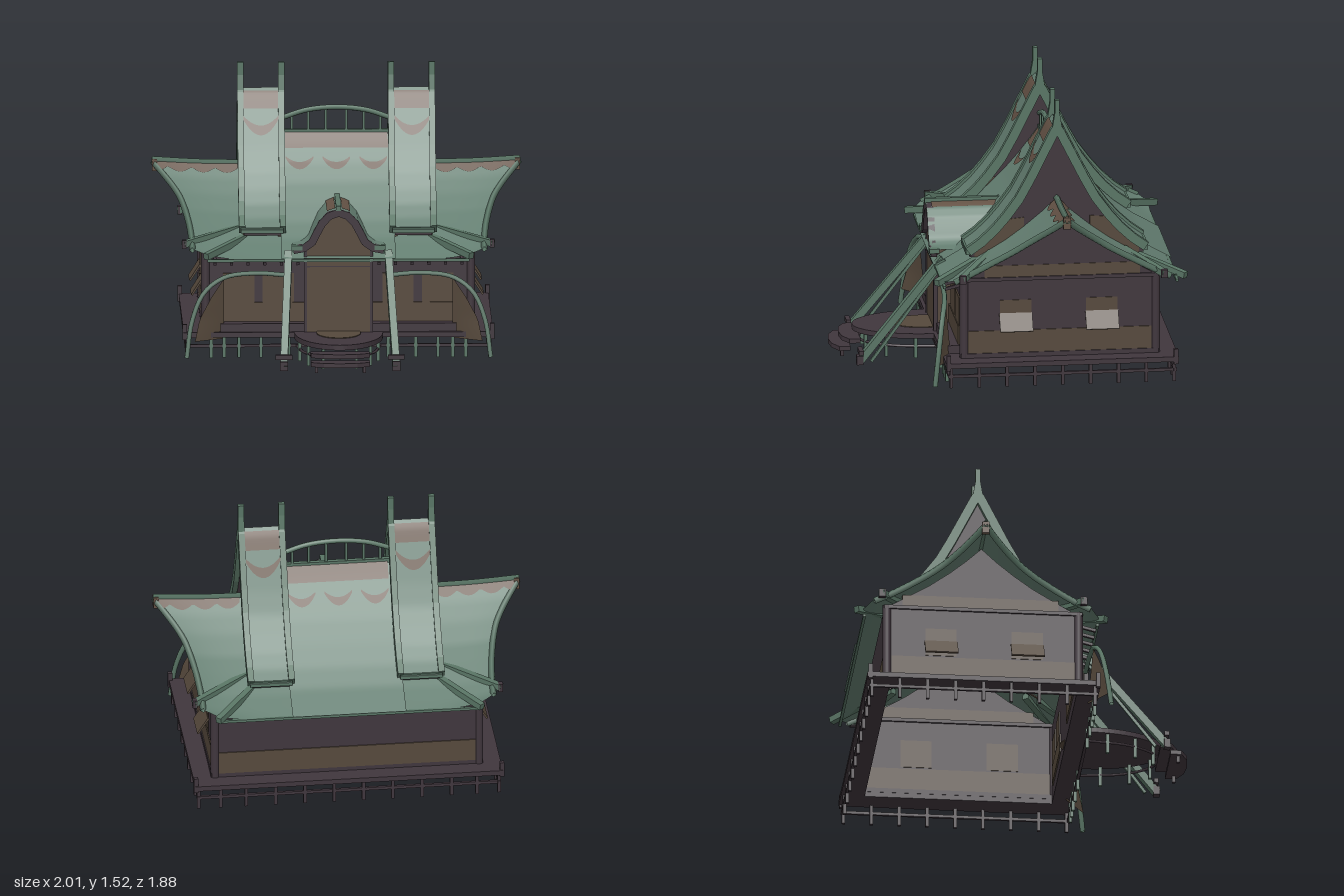
import * as THREE from 'three';

const mat = (name, color, side = THREE.DoubleSide) => Object.assign(new THREE.MeshStandardMaterial({ color, side }), { name });
const M = {
  roof: mat('roof green', 0x637d70), trim: mat('trim green', 0x597565),
  dark: mat('dark plum timber', 0x40363d), wood: mat('brown panel', 0x56493c), paint: mat('roof brown', 0x645245),
};
const RIDGE = -0.25;

// piecewise linear lookup in [[x, y], ...]
const lerp = (pts, x) => {
  for (let i = 1; i < pts.length; i++) {
    const [a, b] = [pts[i - 1], pts[i]];
    if (x <= b[0] || i === pts.length - 1) return a[1] + (b[1] - a[1]) * (x - a[0]) / (b[0] - a[0]);
  }
};
// profiles: distance from ridge -> height (or half width)
const mainY = [[0, .965], [.08, .89], [.17, .815], [.28, .735], [.38, .675], [.5, .605], [.64, .535]];
const mainW = [[0, 1], [.08, .93], [.17, .865], [.28, .83], [.38, .812], [.5, .8], [.59, .8], [.64, .72]];
const midY = [[0, 1.13], [.05, 1.06], [.12, .97], [.2, .88], [.3, .785], [.4, .695], [.5, .62], [.65, .535]];
const towerY = [[0, 1.4], [.035, 1.36], [.1, 1.23], [.17, 1.09], [.23, .98], [.3, .885], [.36, .815], [.43, .75], [.5, .7]];

const mainPoint = (x, d) => {
  const u = Math.min(1, Math.abs(x) / lerp(mainW, d));
  return lerp(mainY, d) + .015 * u ** 4 * (1 - d / .64) + .035 * u ** 6 * d / .64;
};

export function createModel() {
  const root = new THREE.Group();
  const add = (name, geo, m, parent = root) => {
    const mesh = new THREE.Mesh(geo, m);
    mesh.name = name;
    parent.add(mesh);
    return mesh;
  };
  const box = (name, m, x0, x1, y0, y1, z0, z1) => {
    const b = add(name, new THREE.BoxGeometry(x1 - x0, y1 - y0, z1 - z0), m);
    b.position.set((x0 + x1) / 2, (y0 + y1) / 2, (z0 + z1) / 2);
    return b;
  };
  const beam = (name, m, a, b, w, h = w) => {
    const [p, q] = [new THREE.Vector3(...a), new THREE.Vector3(...b)];
    const o = add(name, new THREE.BoxGeometry(w, h, p.distanceTo(q)), m);
    o.position.copy(p).add(q).multiplyScalar(.5);
    o.lookAt(q);
    return o;
  };
  const tube = (name, m, pts, r, sides = 6) => add(name, new THREE.TubeGeometry(
    new THREE.CatmullRomCurve3(pts.map(p => new THREE.Vector3(...p))), 24, r, sides), m);
  // surface from f(u, v) -> [x, y, z]
  const sheet = (name, m, nu, nv, f) => {
    const g = new THREE.PlaneGeometry(1, 1, nu, nv), p = g.attributes.position;
    for (let i = 0; i < p.count; i++) p.setXYZ(i, ...f(p.getX(i) + .5, .5 - p.getY(i)));
    g.computeVertexNormals();
    return add(name, g, m);
  };
  const poly = pts => new THREE.Shape(pts.map(p => new THREE.Vector2(...p)));
  const extrude = (s, depth) => new THREE.ExtrudeGeometry(s, { depth, bevelEnabled: false, curveSegments: 20 });
  // plate drawn in (z, y), spanning x0..x1
  const sidePlate = (name, m, pts, x0, x1) => {
    const o = add(name, extrude(poly(pts), x1 - x0).rotateY(-Math.PI / 2), m);
    o.position.x = x1;
    return o;
  };
  // slab drawn in (x, z), with its top at y
  const slab = (name, m, shape, y, t) => {
    const o = add(name, extrude(shape, t).rotateX(Math.PI / 2), m);
    o.position.y = y;
    return o;
  };
  const bothSides = half => [...half.slice().reverse().map(([d, y]) => [RIDGE - d, y]),
    ...half.slice(half[0][0] === 0 ? 1 : 0).map(([d, y]) => [RIDGE + d, y])];
  const inset = (pts, t) => pts.map((p, i) => {
    const a = pts[Math.max(i - 1, 0)], b = pts[Math.min(i + 1, pts.length - 1)];
    const [dx, dy] = [b[0] - a[0], b[1] - a[1]], l = Math.hypot(dx, dy);
    return [p[0] + dy / l * t, p[1] - dx / l * t];
  });
  // painted patch lying just above a roof
  const patch = (height, s, x0, x1, dTop, dLow) => sheet('paintedRoofBand', M.paint, 24, 4, (u, v) => {
    const x = x0 + (x1 - x0) * u, d = dTop(u) + (dLow(u) - dTop(u)) * v;
    return [x, height(x, d) + .009, RIDGE + s * d];
  });
  const midH = (x, d) => lerp(midY, d) + .012, towerH = (x, d) => lerp(towerY, d) - .02;
  const bow = u => 1 - (2 * u - 1) ** 2;

  // roofs, front and back slopes
  for (const s of [1, -1]) {
    sheet('mainRoof', M.roof, 32, 32, (u, v) => {
      const d = v * .64, x = (2 * u - 1) * lerp(mainW, d);
      return [x, mainPoint(x, d), RIDGE + s * d];
    });
    sheet('middleRoof', M.roof, 2, 32, (u, v) => [(u - .5) * .62, midH(0, v * .65), RIDGE + s * v * .65]);
    patch(midH, s, -.28, .28, () => .008, () => .068);
    for (const c of [-.2, 0, .2])
      patch(midH, s, c - .075, c + .075, u => .1 + .022 * bow(u), u => .108 + .045 * bow(u));
    for (const side of [1, -1]) {
      const c = side * .41;
      sheet('towerRoof', M.roof, 2, 32, (u, v) => [c + (u - .5) * .23, towerH(0, v * .5), RIDGE + s * v * .5]);
      patch(towerH, s, c - .095, c + .095, () => .02, () => .072);
      patch(towerH, s, c - .095, c + .095, u => .09 + .025 * bow(u), u => .1 + .04 * bow(u));
      box('towerEaveSoffit', M.dark, c - .1, c + .1, .645, .685, RIDGE + s * .45 - .025, RIDGE + s * .45 + .025);
      box('towerEaveEdge', M.trim, c - .115, c + .115, .66, .69, RIDGE + s * .485 - .012, RIDGE + s * .485 + .012);
      // scalloped ridge ends
      const [xa, xb] = [side * .53, side * .975];
      sheet('paintedRidgeEnd', M.paint, 36, 4, (u, v) => {
        const d = v * (.035 + .025 * Math.abs(Math.sin(u * Math.PI * 3.5)));
        const x = side * Math.min(Math.abs(xa + (xb - xa) * u), lerp(mainW, d) - .006);
        return [x, mainPoint(x, d) + .009, RIDGE + s * d];
      });
      // flared gable edge and corner beams
      const edge = [...Array(10).keys()].map(i => {
        const d = i * .59 / 9, x = lerp(mainW, d);
        return [side * (x - .008), mainPoint(x, d) - .008, RIDGE + s * d];
      });
      tube('gableEdge', M.trim, edge, .018, 4);
      const at = d => RIDGE + s * d;
      beam('cornerBeam', M.trim, [side * .53, .67, at(.36)], [side * .84, .612, at(.555)], .035);
      beam('cornerBeam', M.trim, [side * .5, .63, at(.43)], [side * .72, .565, at(.68)], .035);
      box('beamTip', M.dark, side * .835 - .012, side * .835 + .012, .59, .635, at(.55) - .018, at(.55) + .018);
    }
    beam('eave', M.trim, [-.71, .535, RIDGE + s * .635], [.71, .535, RIDGE + s * .635], .015);
  }
  for (const side of [1, -1]) {
    tube('ridgeBeam', M.trim, [[side * .5, .965, RIDGE], [side * .75, .97, RIDGE], [side, .985, RIDGE]], .018, 4);
    box('ridgeEnd', M.paint, side * .985 - .014, side * .985 + .014, .925, .99, RIDGE - .02, RIDGE + .02);
    // tower rails with finials, and tower gables
    for (const x of [.298, .52]) {
      const top = bothSides(towerY);
      sidePlate('towerRail', M.trim, [...top, ...inset(top, .05).reverse()], side * x - .017, side * x + .017);
      sidePlate('towerFinial', M.trim, [[RIDGE - .028, 1.36], [RIDGE + .028, 1.36], [RIDGE + .013, 1.45],
        [RIDGE + .013, 1.52], [RIDGE - .013, 1.52], [RIDGE - .013, 1.45]], side * x - .017, side * x + .017);
      const gx = side * (x === .52 ? .503 : .315);
      const under = bothSides(mainY.slice(0, 5).map(([d, y]) => [d, y - .01])).reverse();
      const upper = bothSides([[0, 1.34], [.08, 1.2], [.17, 1.03], [.28, .87], [.36, .775], [.43, .71]]);
      sidePlate('towerGable', M.dark, [...upper, ...under], gx - .006, gx + .006);
      for (const s of [1, -1]) sidePlate('towerGableFoot', M.wood, [[.18, .86], [.29, .85], [.36, .775],
        [.45, .705], [.45, .63], [.18, .8]].map(([d, y]) => [RIDGE + s * d, y]), gx - .01, gx + .01);
    }
    // side wall, gable, posts, windows
    const wx = side * .72, o = side * .012;
    sidePlate('sideWall', M.dark, [[-.77, .14], [.28, .14], [.28, .57],
      ...bothSides(mainY.slice(0, 6).map(([d, y]) => [d, y - .015])).reverse(), [-.77, .57]], wx - .01, wx + .01);
    box('sideLowerPanel', M.wood, wx - .016, wx + .016, .155, .29, -.74, .26);
    box('sideUpperPanel', M.wood, wx - .014, wx + .014, .585, .655, -.68, .17);
    box('sideBeam', M.dark, wx - .022, wx + .022, .57, .59, -.78, .3);
    box('sideSill', M.dark, wx - .022, wx + .022, .14, .165, -.78, .3);
    for (const z of [0, -.47]) {
      box('sideWindow', M.wood, wx - .014, wx + .014, .3, .46, z - .085, z + .085);
      beam('windowShutter', M.wood, [wx + o, .385, z], [wx + side * .07, .295, z], .18, .01);
    }
    for (const z of [.28, -.765]) {
      const p = add('cornerPost', new THREE.CylinderGeometry(.024, .024, .45, 12), M.dark);
      p.position.set(wx, .365, z);
    }
  }

  // arched ridge walkway between the towers
  tube('ridgeArch', M.trim, [[-.3, 1.21, RIDGE], [-.16, 1.255, RIDGE], [0, 1.27, RIDGE], [.16, 1.255, RIDGE], [.3, 1.21, RIDGE]], .014, 8);
  for (const x of [-.24, -.15, -.055, .055, .15, .24])
    box('ridgeArchPost', M.trim, x - .007, x + .007, 1.12, 1.265 - .8 * x * x, RIDGE - .008, RIDGE + .008);
  box('middleRidge', M.trim, -.29, .29, 1.125, 1.15, RIDGE - .012, RIDGE + .012);

  // back and front walls
  box('backWall', M.dark, -.72, .72, .14, .57, -.78, -.76);
  box('backPanel', M.wood, -.7, .7, .165, .29, -.786, -.754);
  box('frontWall', M.dark, -.72, .72, .14, .57, .27, .29);
  for (const side of [1, -1]) {
    const c = side * .4;
    box('frontLowerPanel', M.wood, c - .22, c + .22, .185, .29, .262, .302);
    for (const x of [.325, .54]) box('frontUpperPanel', M.wood, side * x - .085, side * x + .085, .29, .45, .264, .298);
    box('frontSill', M.dark, c - .24, c + .24, .14, .185, .29, .37);
    for (let i = 0; i < 6; i++)
      beam('eaveRafter', M.dark, [side * (.22 + i * .09), .54, .28], [side * (.22 + i * .09), .515, .38], .016);
  }

  // entrance with bell-shaped roof
  const bell = [[0, .82], [.06, .8], [.105, .755], [.135, .7], [.16, .65], [.195, .625], [.25, .615]];
  const arc = [...bell.slice(1).reverse().map(([x, y]) => [-x, y]), ...bell];
  const inv = midY.map(([d, y]) => [y + .012, d]).reverse();
  sheet('entranceRoof', M.roof, 48, 8, (u, v) => {
    const x = (2 * u - 1) * .25, y = lerp(bell, Math.abs(x)), z0 = RIDGE + lerp(inv, y) - .02;
    return [x, y, z0 + (.41 - z0) * v];
  });
  add('entranceArch', extrude(poly([...arc, ...inset(arc, .042).reverse()]), .035), M.dark).position.z = .372;
  add('entranceFront', extrude(poly([[-.18, .14], [.18, .14], [.18, .6], [.14, .62], [.11, .7], [.06, .77], [0, .79],
    [-.06, .77], [-.11, .7], [-.14, .62], [-.18, .6]]), .1), M.wood).position.z = .28;
  box('doorLintel', M.dark, -.18, .18, .497, .503, .375, .384);
  box('entranceRidge', M.trim, -.014, .014, .81, .838, 0, .415);
  for (const side of [1, -1]) {
    sheet('entranceStripe', M.paint, 4, 4, (u, v) => {
      const x = .018 + .045 * u;
      return [side * x, lerp(bell, x) + .007, .02 + .36 * v];
    });
    box('entranceBracket', M.trim, side * .225 - .03, side * .225 + .03, .595, .62, .36, .415);
    box('doorPost', M.dark, side * .18 - .008, side * .18 + .008, .14, .6, .36, .386);
    // leaning entrance posts with braces
    beam('leaningPost', M.trim, [side * .305, .015, .805], [side * .27, .575, .345], .04);
    beam('leaningBrace', M.trim, [side * .3, .012, .74], [side * .27, .52, .36], .016);
    box('postPeg', M.dark, side * .305 - .045, side * .305 + .045, .06, .085, .785, .81);
    box('postFoot', M.dark, side * .305 - .022, side * .305 + .022, 0, .05, .785, .82);
    // bent veranda rail and cloth
    const X = (x, y, z) => [side * x, y, z];
    tube('bentRail', M.trim, [X(.825, .01, .45), X(.795, .21, .425), X(.73, .36, .4), X(.62, .44, .375), X(.45, .462, .365), X(.28, .45, .36)], .014);
    const outer = [[0, .78], [.35, .755], [.7, .69], [1, .62]];
    sheet('sideCloth', M.wood, 6, 10, (u, v) =>
      [side * (.62 + (lerp(outer, v) - .62) * u), .1 + .335 * v, .34 + .11 * u * (1 - v) + .03 * v]);
  }

  // deck with open middle and rounded landing
  const deck = poly([[-.84, -.88], [.84, -.88], [.84, .39], [.24, .39]]);
  deck.absellipse(0, .39, .24, .42, 0, Math.PI, false);
  deck.lineTo(-.84, .39);
  deck.holes.push(poly([[-.7, -.75], [-.7, .27], [.7, .27], [.7, -.75]]));
  slab('deck', M.dark, deck, .14, .028);
  const mat1 = new THREE.Shape();
  mat1.absellipse(0, .42, .12, .175, 0, Math.PI * 2, false);
  slab('doorMat', M.wood, mat1, .144, .006);
  for (const [y, z] of [[.1, .87], [.06, .925]])
    slab('step', M.dark, poly([[-.16, z - .09], [.16, z - .09], [.16, z - .03], [.09, z + .005], [0, z + .015], [-.09, z + .005], [-.16, z - .03]]), y, .024);

  // stilts and rails under the deck
  const stilt = (x, z, m) => box('stilt', m, x - .009, x + .009, 0, .115, z - .009, z + .009);
  for (const side of [1, -1]) {
    for (let i = 0; i < 9; i++) stilt(side * .82, -.855 + i * .152, M.dark);
    box('lowRail', M.dark, side * .82 - .008, side * .82 + .008, .057, .073, -.87, .38);
    for (const x of [.27, .42, .54, .62, .69]) stilt(side * x, .37, M.trim);
    for (const x of [.08, .24, .4, .56, .7]) stilt(side * x, -.86, M.dark);
    for (const a of [.25, .7, 1.15]) stilt(side * .22 * Math.cos(a), .39 + .39 * Math.sin(a), M.trim);
    box('deckCornerPeg', M.dark, side * .835 - .012, side * .835 + .012, .1, .185, .365, .389);
    box('deckCornerPeg', M.dark, side * .835 - .012, side * .835 + .012, .1, .185, -.875, -.851);
    box('stepStilt', M.dark, side * .13 - .009, side * .13 + .009, 0, .05, .87, .888);
  }
  box('lowRailFront', M.dark, -.83, .83, .057, .073, .362, .378);
  box('lowRailBack', M.dark, -.83, .83, .057, .073, -.868, -.852);
  tube('lowRailLanding', M.dark, [0, .2, .4, .6, .8, 1].map(t => [.225 * Math.cos(t * Math.PI), .065, .38 + .4 * Math.sin(t * Math.PI)]), .008);
  return root;
}
